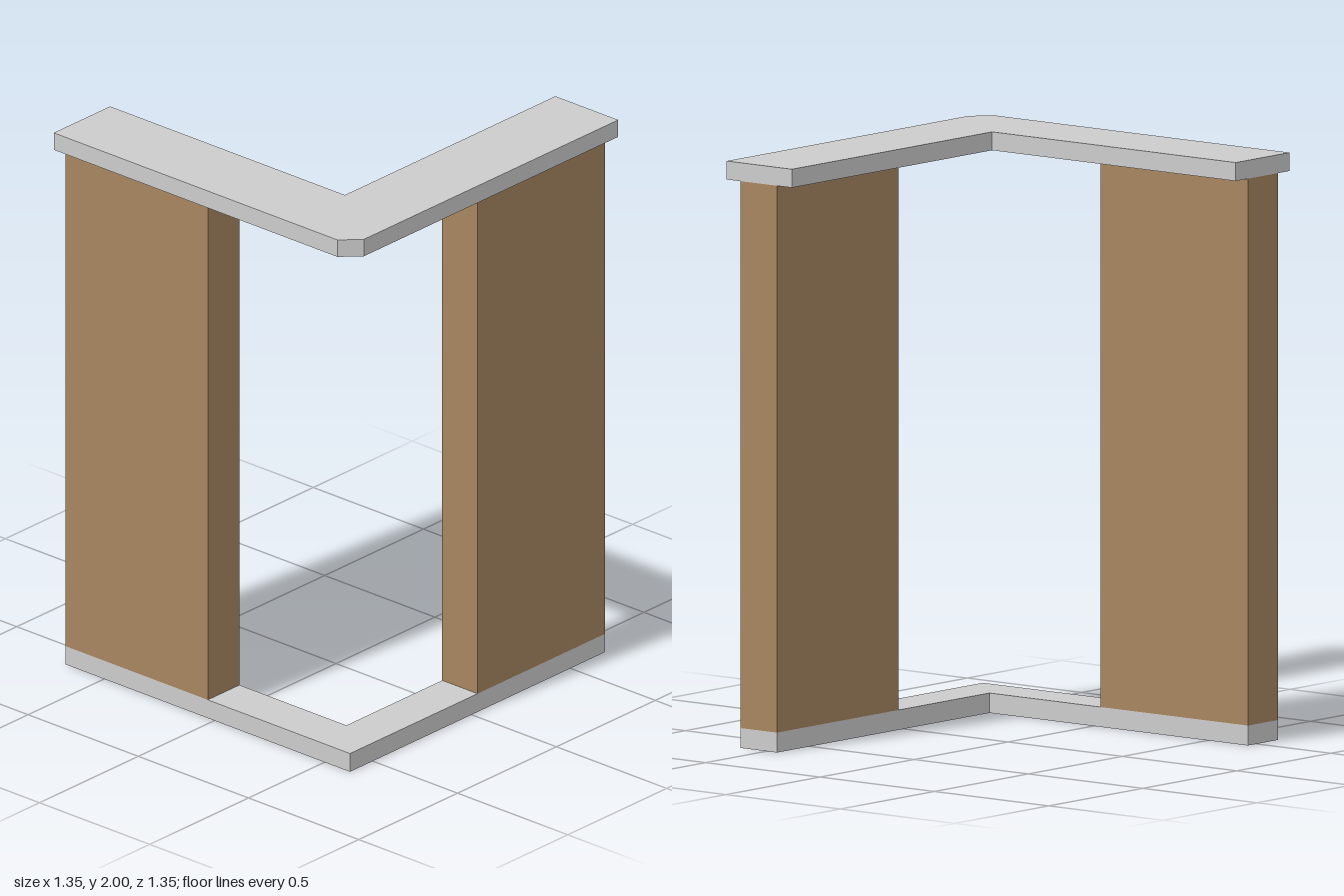
import * as THREE from 'three';

const grey = new THREE.MeshStandardMaterial({ color: 0xcccccc });
const brown = new THREE.MeshStandardMaterial({ color: 0xa68560 });

const END = 0.675;          // where both arms stop (+x and -z)
const OUT = 0.615, IN = 0.455; // outer and inner faces of the walls
const FLOOR = 0.068, TOP = 1.937;

// Horizontal slab from an outline of [x, z] points, between two heights
function slab(name, points, y0, y1) {
  const shape = new THREE.Shape(points.map(([x, z]) => new THREE.Vector2(x, z)));
  const geo = new THREE.ExtrudeGeometry(shape, { depth: y1 - y0, bevelEnabled: false });
  geo.rotateX(Math.PI / 2);
  geo.translate(0, y1, 0);
  const mesh = new THREE.Mesh(geo, grey);
  mesh.name = name;
  return mesh;
}

// Upright wall panel between the two slabs
function wall(name, x0, x1, z0, z1) {
  const mesh = new THREE.Mesh(new THREE.BoxGeometry(x1 - x0, TOP - FLOOR, z1 - z0), brown);
  mesh.position.set((x0 + x1) / 2, (FLOOR + TOP) / 2, (z0 + z1) / 2);
  mesh.name = name;
  return mesh;
}

export function createModel() {
  const model = new THREE.Group();
  model.name = 'cornerWall';

  // L-shaped footing, flush with the walls
  model.add(slab('base', [
    [-OUT, -END], [-IN, -END], [-IN, IN], [END, IN], [END, OUT], [-OUT, OUT],
  ], 0, FLOOR));

  // Wider L-shaped cap with a clipped outer corner
  const inner = 0.39, clip = 0.612;
  model.add(slab('cap', [
    [-END, -END], [-inner, -END], [-inner, inner], [END, inner],
    [END, END], [-clip, END], [-END, clip],
  ], TOP, 2));

  // One wall on each arm, leaving the corner open
  model.add(wall('frontWall', 0.03, END, IN, OUT));
  model.add(wall('sideWall', -OUT, -IN, -END, -0.03));

  return model;
}
